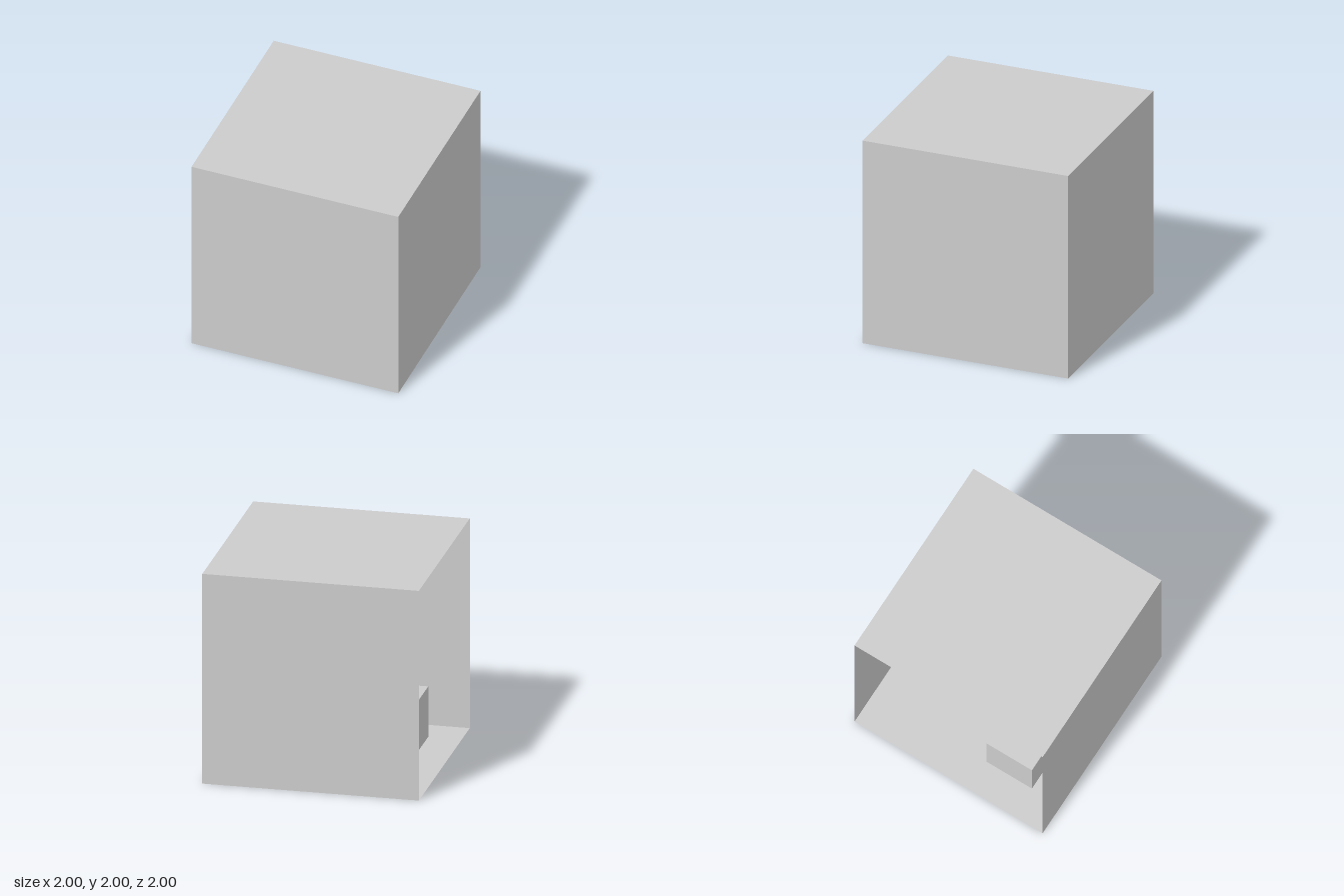
import * as THREE from 'three';

export function createModel() {
  const group = new THREE.Group();
  const wallMaterial = new THREE.MeshStandardMaterial({ color: 0xcccccc, side: THREE.DoubleSide });
  const blockMaterial = new THREE.MeshStandardMaterial({ color: 0xcccccc });
  const Q = Math.PI / 2;

  // Thin room panels; the -x side stays open
  const panels = [
    ['floor', [0, 0, 0], [-Q, 0, 0]],
    ['ceiling', [0, 2, 0], [-Q, 0, 0]],
    ['frontWall', [0, 1, 1], [0, 0, 0]],
    ['backWall', [0, 1, -1], [0, Math.PI, 0]],
    ['sideWall', [1, 1, 0], [0, Q, 0]],
  ];
  for (const [name, position, rotation] of panels) {
    const panel = new THREE.Mesh(new THREE.PlaneGeometry(2, 2), wallMaterial);
    panel.name = name;
    panel.position.set(...position);
    panel.rotation.set(...rotation);
    group.add(panel);
  }

  // Small block standing on the floor
  const size = 0.48;
  const block = new THREE.Mesh(new THREE.BoxGeometry(size, size, size), blockMaterial);
  block.name = 'block';
  block.position.set(-0.45, size / 2, 0.45);
  group.add(block);

  return group;
}
